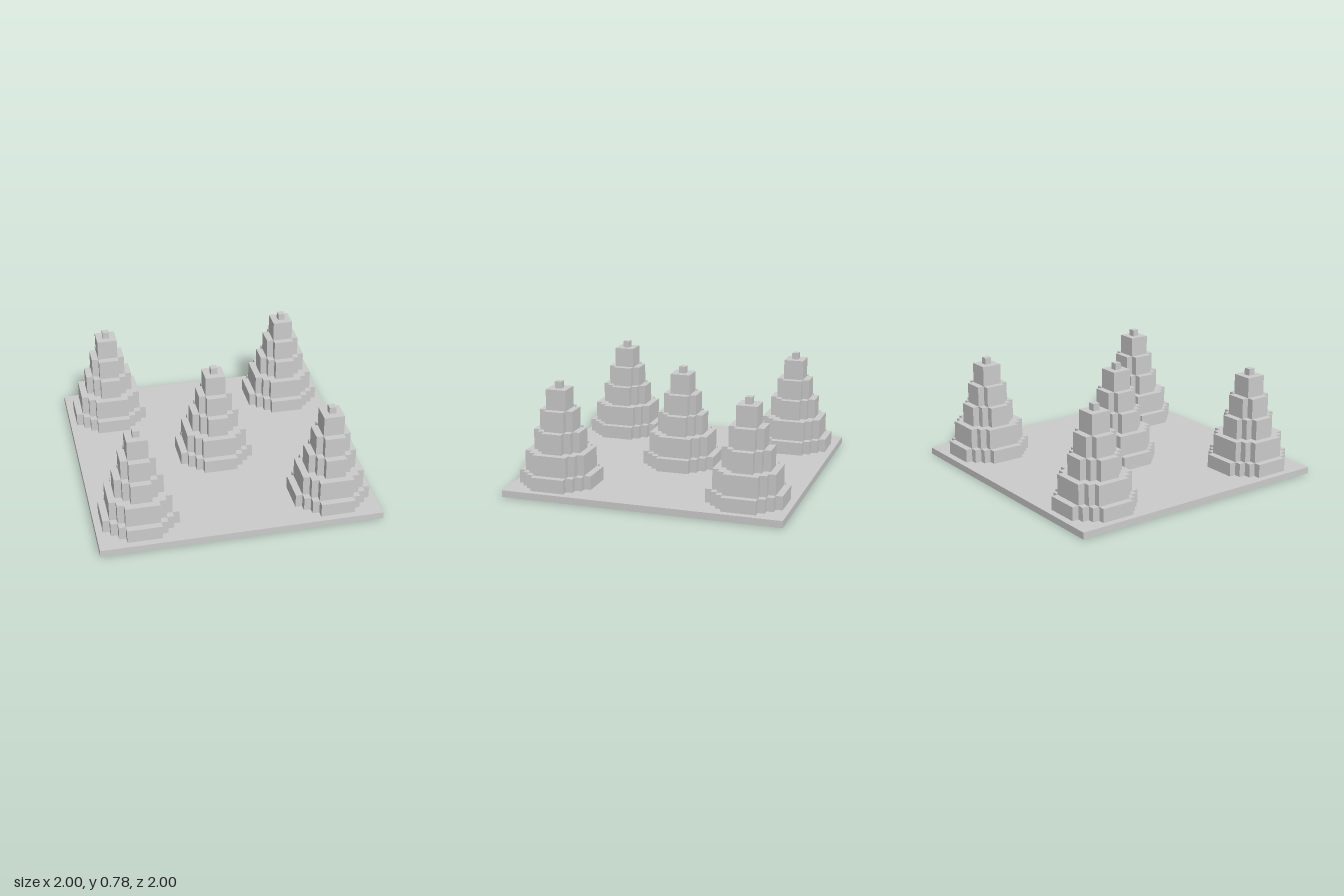
import * as THREE from 'three';

const U = 2 / 41; // one block: the base is 41 blocks wide

// Outline of a disc of square blocks with a radius of r blocks
function blockDisc(r) {
  const right = [];
  for (let j = -r; j <= r; j++) {
    const w = Math.floor(Math.sqrt((r + 0.5) ** 2 - j * j)) + 0.5;
    right.push([w, j - 0.5], [w, j + 0.5]);
  }
  const left = right.map(([x, y]) => [-x, y]).reverse();
  return new THREE.Shape([...right, ...left].map(([x, y]) => new THREE.Vector2(x * U, y * U)));
}

export function createModel() {
  const model = new THREE.Group();
  const material = new THREE.MeshStandardMaterial({ color: 0xcccccc, flatShading: true });

  // Square ground slab, one block thick
  const base = new THREE.Mesh(new THREE.BoxGeometry(2, U, 2), material);
  base.name = 'base';
  base.position.y = U / 2;
  model.add(base);

  // Tiers shrink by one block per step; the tip is a single block
  const tiers = [5, 4, 3, 2, 1, 0].map((r) => {
    const depth = (r === 0 ? 1 : r === 5 ? 2 : 3) * U;
    const geometry = new THREE.ExtrudeGeometry(blockDisc(r), { depth, bevelEnabled: false });
    return { geometry: geometry.rotateX(-Math.PI / 2), depth, name: r === 0 ? 'towerTip' : 'towerTier' };
  });

  // One stepped tower in the middle and one near each corner
  for (const [x, z] of [[0, 0], [-14, -14], [14, -14], [-14, 14], [14, 14]]) {
    const tower = new THREE.Group();
    tower.name = 'steppedTower';
    tower.position.set(x * U, U, z * U);
    let y = 0;
    for (const { geometry, depth, name } of tiers) {
      const tier = new THREE.Mesh(geometry, material);
      tier.name = name;
      tier.position.y = y;
      y += depth;
      tower.add(tier);
    }
    model.add(tower);
  }
  return model;
}
